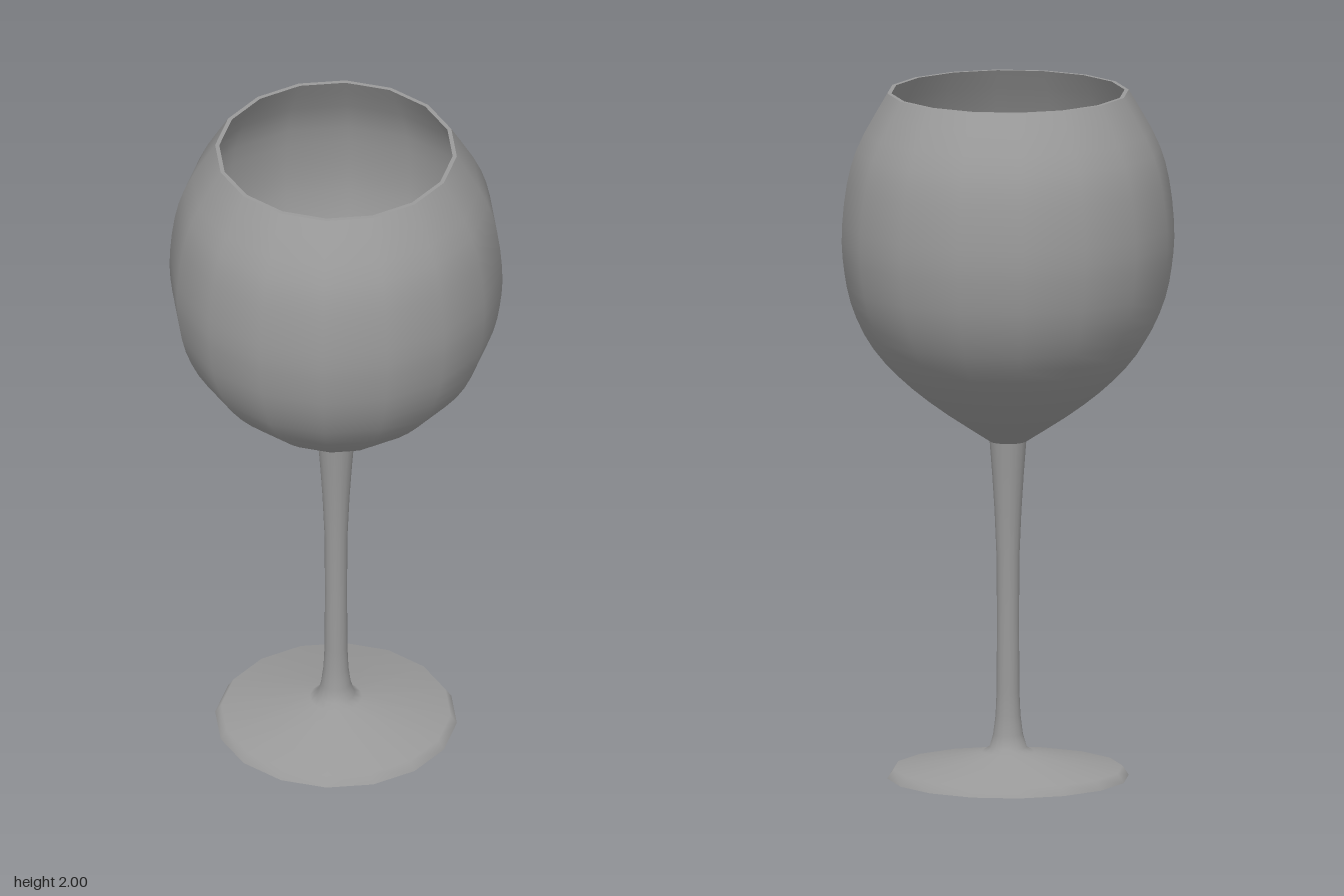
import * as THREE from 'three';

const SIDES = 16;
const material = new THREE.MeshStandardMaterial({ color: 0x9a9a9a });

const toPoints = (profile) => profile.map(([r, y]) => new THREE.Vector2(r, y));

// Turned surface; a profile running upwards faces outwards
function turned(name, points) {
  const mesh = new THREE.Mesh(new THREE.LatheGeometry(points, SIDES), material);
  mesh.name = name;
  return mesh;
}

// Even, rounded profile through a few points
const rounded = (profile) => new THREE.SplineCurve(toPoints(profile)).getPoints(22);

export function createModel() {
  const glass = new THREE.Group();
  glass.name = 'wineGlass';

  // Foot and stem: flat underside, then one smooth sweep from edge to bowl
  const underside = turned('footUnderside', toPoints([[0, 0], [0.348, 0]]));
  const footAndStem = turned('footAndStem', toPoints([
    [0.348, 0], [0.33, 0.027], [0.075, 0.075], [0.054, 0.088], [0.043, 0.125],
    [0.036, 0.18], [0.033, 0.25], [0.032, 0.45], [0.033, 0.64],
    [0.039, 0.78], [0.046, 0.89], [0.053, 0.98],
  ]));

  // Bowl: outer wall, rim and inner wall with a rounded bottom
  const outer = rounded([
    [0.053, 0.98], [0.2, 1.077], [0.313, 1.17], [0.397, 1.268], [0.45, 1.38],
    [0.473, 1.49], [0.479, 1.6], [0.463, 1.745], [0.427, 1.86], [0.348, 2],
  ]);
  const inner = rounded([
    [0.336, 2], [0.415, 1.855], [0.451, 1.743], [0.467, 1.6], [0.461, 1.492],
    [0.438, 1.385], [0.387, 1.277], [0.304, 1.18], [0.194, 1.09], [0.08, 1.03], [0, 1.015],
  ]);
  const bowl = new THREE.Group();
  bowl.name = 'bowl';
  bowl.add(
    turned('bowlOutside', outer),
    turned('rim', [outer[outer.length - 1], inner[0]]),
    turned('bowlInside', inner)
  );

  glass.add(underside, footAndStem, bowl);
  return glass;
}
